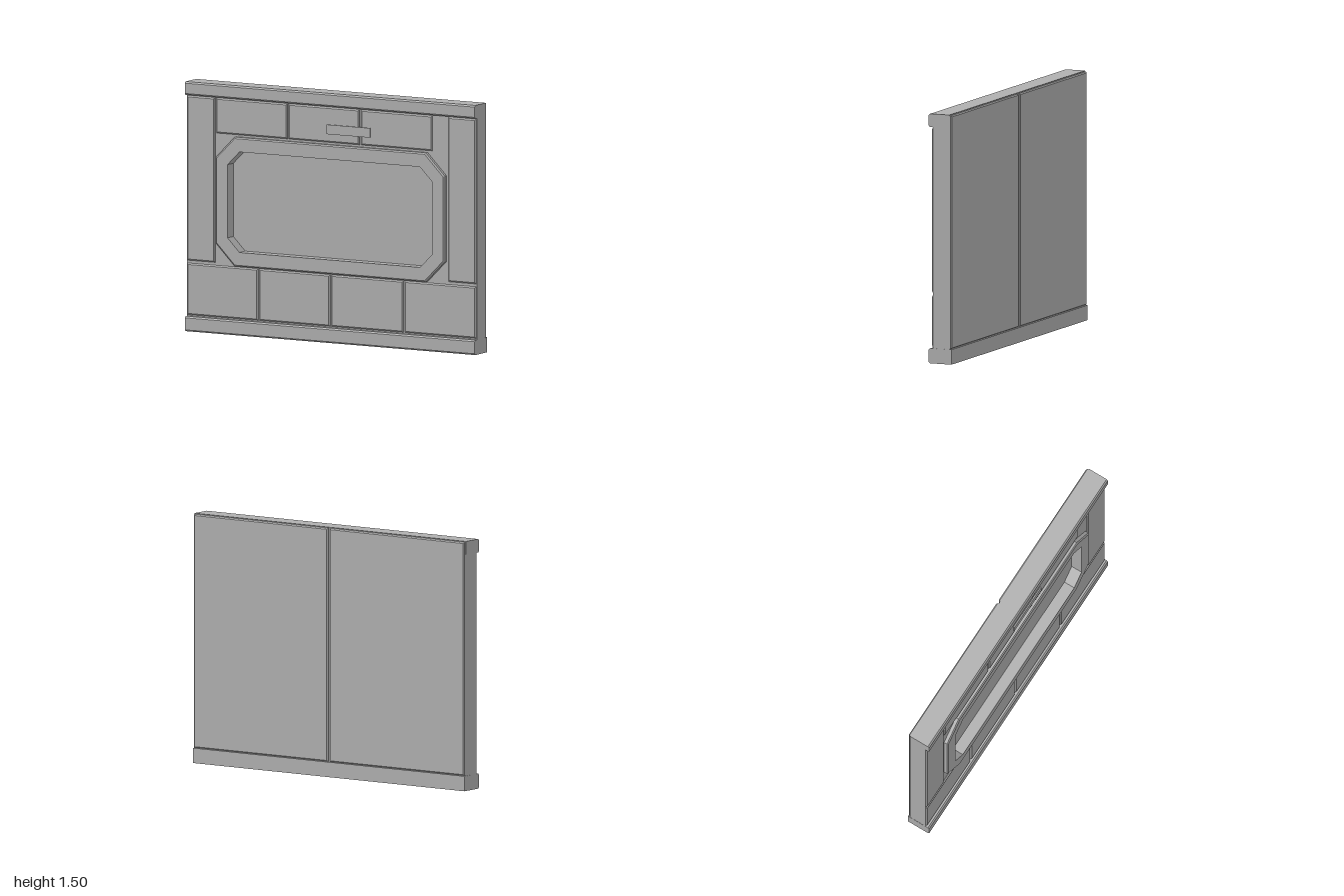
import * as THREE from 'three';

const grey = new THREE.MeshStandardMaterial({ color: 0xb0b0b0 });
grey.name = 'panelGrey';

// Octagon: rectangle with cut corners, listed counter-clockwise
const CENTRE_Y = 0.8025;
function octagon(w, h, cut) {
  return [
    [w, h - cut], [w - cut, h], [-w + cut, h], [-w, h - cut],
    [-w, -h + cut], [-w + cut, -h], [w - cut, -h], [w, -h + cut],
  ].map(([x, y]) => new THREE.Vector2(x, y + CENTRE_Y));
}

function rectShape(x0, x1, y0, y1) {
  return new THREE.Shape([[x0, y0], [x1, y0], [x1, y1], [x0, y1]].map(p => new THREE.Vector2(...p)));
}

export function createModel() {
  const group = new THREE.Group();
  const add = (name, geometry) => {
    const mesh = new THREE.Mesh(geometry, grey);
    mesh.name = name;
    group.add(mesh);
    return mesh;
  };

  // Rectangular slab with chamfered edges
  const slab = (name, x0, x1, y0, y1, z0, z1, bevel) => {
    const geometry = new THREE.ExtrudeGeometry(rectShape(x0, x1, y0, y1), {
      depth: z1 - z0 - 2 * bevel, bevelEnabled: true, bevelSegments: 1,
      bevelSize: bevel, bevelThickness: bevel, bevelOffset: -bevel,
    });
    add(name, geometry.translate(0, 0, z0 + bevel));
  };

  // Wall core: solid back and a front layer cut out for the recess
  const core = new THREE.BoxGeometry(1.998, 1.48, 0.065);
  add('wallBack', core.translate(0, 0.75, -0.0275));
  const layer = rectShape(-0.999, 0.999, 0.01, 1.49);
  layer.holes.push(new THREE.Path(octagon(0.715, 0.312, 0.085)));
  add('wallFront', new THREE.ExtrudeGeometry(layer, { depth: 0.042, bevelEnabled: false }).translate(0, 0, 0.005));

  // Top and bottom rails: chamfered profile (z, y) drawn along x
  const rail = (name, y0, y1, back) => {
    const c = 0.009, f = 0.074;
    const profile = new THREE.Shape([
      [back, y0], [f - c, y0], [f, y0 + c], [f, y1 - c], [f - c, y1], [back, y1],
    ].map(p => new THREE.Vector2(...p)));
    const geometry = new THREE.ExtrudeGeometry(profile, { depth: 2, bevelEnabled: false });
    add(name, geometry.rotateY(-Math.PI / 2).translate(1, 0, 0));
  };
  rail('topRail', 1.42, 1.5, -0.06);
  rail('bottomRail', 0, 0.09, -0.074);

  // Raised cladding blocks
  const front = (name, x0, x1, y0, y1) => slab(name, x0, x1, y0, y1, 0.03, 0.056, 0.008);
  front('leftColumn', 0.805, 0.997, 0.425, 1.415);
  front('rightColumn', -0.997, -0.805, 0.425, 1.415);
  [[-0.997, -0.507], [-0.5, -0.01], [-0.002, 0.495], [0.504, 0.997]]
    .forEach(([a, b]) => front('lowerBlock', a, b, 0.098, 0.408));
  [[-0.795, -0.305], [-0.297, 0.192], [0.203, 0.695]]
    .forEach(([a, b]) => front('upperBlock', a, b, 1.203, 1.415));

  // Recess frame: octagonal rings from the outer foot to the recess floor
  const rings = [
    [octagon(0.79, 0.388, 0.13), 0.04],
    [octagon(0.79, 0.388, 0.13), 0.067],
    [octagon(0.782, 0.38, 0.127), 0.074],
    [octagon(0.705, 0.302, 0.082), 0.074],
    [octagon(0.705, 0.302, 0.082), 0.005],
  ];
  const positions = [];
  for (let r = 0; r < rings.length - 1; r++) {
    const [a, za] = rings[r], [b, zb] = rings[r + 1];
    for (let i = 0; i < 8; i++) {
      const j = (i + 1) % 8;
      const p = [[a[i], za], [a[j], za], [b[j], zb], [b[i], zb]];
      for (const k of [0, 1, 2, 0, 2, 3]) positions.push(p[k][0].x, p[k][0].y, p[k][1]);
    }
  }
  const frame = new THREE.BufferGeometry();
  frame.setAttribute('position', new THREE.Float32BufferAttribute(positions, 3));
  frame.computeVertexNormals();
  add('recessFrame', frame);

  // Small name plate above the frame
  add('smallPlate', new THREE.BoxGeometry(0.3, 0.057, 0.009).translate(0.122, 1.282, 0.0595));

  // Two back panels with a narrow seam
  for (const [name, x0, x1] of [['backPanelLeft', 0.008, 0.996], ['backPanelRight', -0.996, -0.008]]) {
    slab(name, x0, x1, 0.092, 1.495, -0.074, -0.05, 0.007);
  }

  return group;
}
